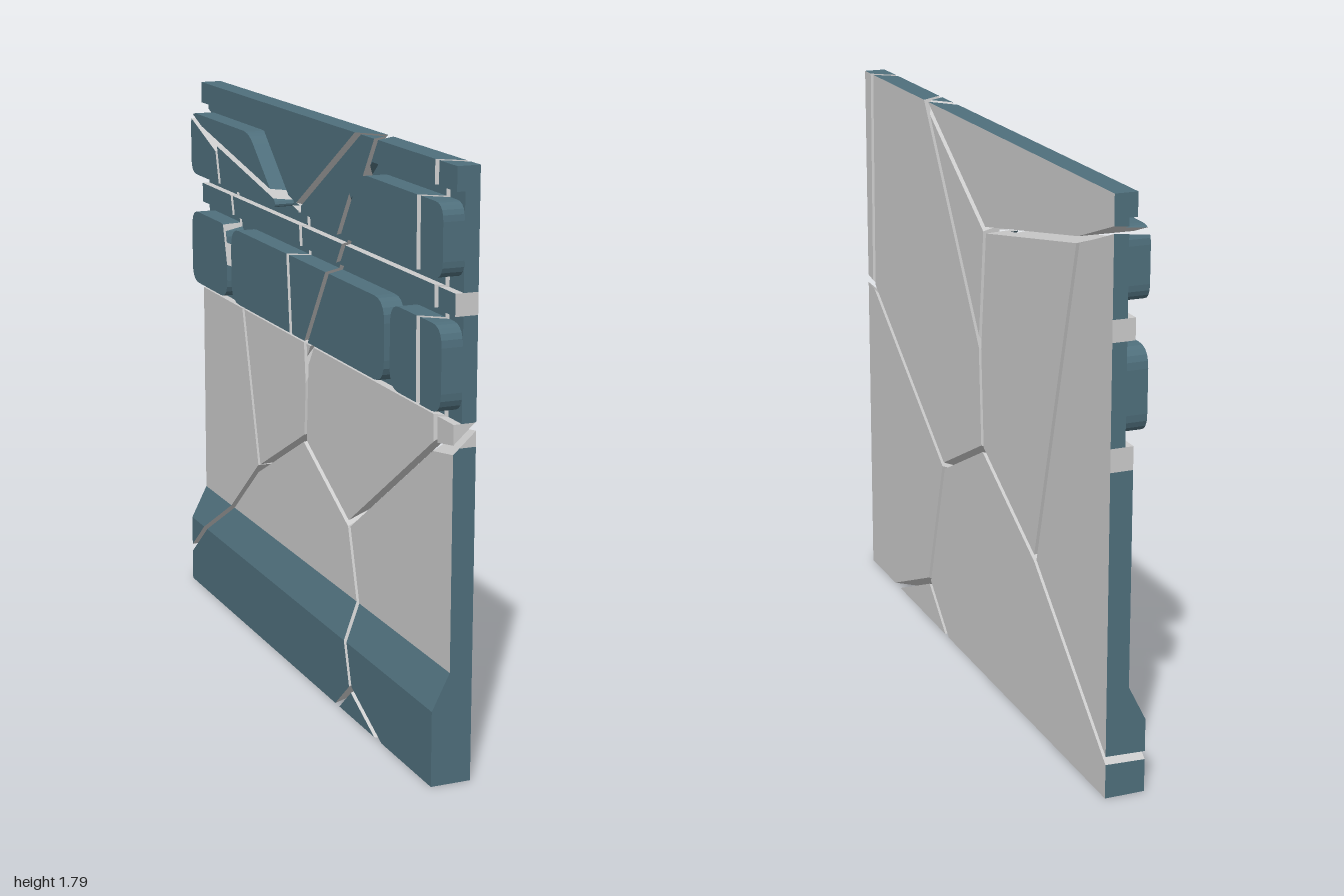
import * as THREE from 'three';

const TEAL = 0, GREY = 1;
const FRONT = 0.06, RECESS = 0.015, SKIN = -0.01, BLOCK = -0.05, FOOT = -0.065;
const TOP = 1.79, GAP = 0.01;
const V = (x, y, z) => new THREE.Vector3(x, y, z);

// Crack corners: [z, y] on the flat face, then [z, y] on the detailed face
const P = {
  A: [0.94, 1.05, 0.89, 0.99], B: [0.28, 0.60, 0.28, 0.57], C: [-0.06, 0.77, -0.08, 0.755],
  D: [-0.04, 1.10, -0.04, 1.02], E: [-0.08, 1.48, -0.14, 1.51], F: [0.42, TOP, 0.46, TOP],
  f: [0.42, TOP, 0.36, TOP], G: [-0.77, 1.61, -0.75, 1.60], H: [-1, 1.69, -1, 1.68],
  I: [-0.48, 0.55, -0.48, 0.545], J: [-1, 0.12, -1, 0.12], K: [0.42, 0.14, 0.425, 0.11],
  L: [0.74, 0, 0.68, 0], M: [0.26, 0, 0.29, 0], N: [0.93, TOP, 0.87, TOP], O: [1, 1.06, 1, 0.985],
  w: [1, TOP, 1, TOP], x: [-1, TOP, -1, TOP], y: [-1, 0, -1, 0], z: [1, 0, 1, 0],
};
const CELLS = ['wNAO', 'NABCDF', 'FDEf', 'fEGHx', 'EDCIG', 'GIJH', 'CBKMyJI', 'OABKLz', 'KLM'];

// Slanted crack planes bounding one fragment, pulled in to leave a gap
function cellPlanes(cell) {
  const pts = [...cell].map((k) => P[k]);
  const centre = V(FRONT, 0, 0);
  pts.forEach((p) => centre.add(V(0, p[1] / pts.length, p[0] / pts.length)));
  const planes = [];
  pts.forEach((p, i) => {
    const q = pts[(i + 1) % pts.length];
    const onRim = (Math.abs(p[0]) === 1 && p[0] === q[0]) || (p[1] === q[1] && (p[1] === 0 || p[1] === TOP));
    if (onRim) return;
    const a = V(FRONT, p[1], p[0]), b = V(FRONT, q[1], q[0]);
    const c = V(SKIN, (p[3] + q[3]) / 2, (p[2] + q[2]) / 2);
    const plane = new THREE.Plane().setFromCoplanarPoints(a, b, c);
    if (plane.distanceToPoint(centre) < 0) plane.negate();
    plane.constant -= GAP;
    planes.push(plane);
  });
  return planes;
}

// Convex prism over a [z, y] outline; the back depth may follow y
function prism(outline, front, back, colors = {}) {
  const { face = GREY, rear = TEAL, side = TEAL } = colors;
  const f = outline.map(([z, y]) => V(front, y, z));
  const b = outline.map(([z, y]) => V(back(y), y, z));
  const faces = [{ pts: f, color: face }, { pts: b, color: rear }];
  f.forEach((p, i) => {
    const j = (i + 1) % f.length;
    faces.push({ pts: [p, f[j], b[j], b[i]], color: side });
  });
  return faces;
}

// Cut a convex solid with a plane and close it with a grey broken face
function cut(faces, plane) {
  const out = [], rim = [];
  for (const { pts, color } of faces) {
    const kept = [];
    pts.forEach((p, i) => {
      const q = pts[(i + 1) % pts.length];
      const dp = plane.distanceToPoint(p), dq = plane.distanceToPoint(q);
      if (dp >= 0) kept.push(p);
      if ((dp >= 0) !== (dq >= 0)) {
        const hit = p.clone().lerp(q, dp / (dp - dq));
        kept.push(hit);
        if (!rim.some((r) => r.distanceTo(hit) < 1e-6)) rim.push(hit);
      }
    });
    if (kept.length > 2) out.push({ pts: kept, color });
  }
  if (rim.length > 2) {
    const mid = rim.reduce((s, p) => s.add(p), V(0, 0, 0)).divideScalar(rim.length);
    const u = rim[0].clone().sub(mid).normalize();
    const v = plane.normal.clone().cross(u);
    const angle = (p) => Math.atan2(p.clone().sub(mid).dot(v), p.clone().sub(mid).dot(u));
    out.push({ pts: rim.sort((a, b) => angle(a) - angle(b)), color: GREY });
  }
  return out;
}

// Flat-shaded mesh from convex faces, each turned outward
function toMesh(faces, name, materials) {
  const all = faces.flatMap((f) => f.pts);
  const mid = all.reduce((s, p) => s.add(p), V(0, 0, 0)).divideScalar(all.length);
  const geometry = new THREE.BufferGeometry();
  const pos = [];
  for (const color of [TEAL, GREY]) {
    const start = pos.length / 3;
    for (const { pts } of faces.filter((f) => f.color === color)) {
      const n = V(0, 0, 0);
      pts.forEach((p, i) => n.add(p.clone().sub(mid).cross(pts[(i + 1) % pts.length].clone().sub(mid))));
      const flip = n.dot(pts[0].clone().sub(mid)) < 0;
      for (let i = 1; i < pts.length - 1; i++) {
        const tri = flip ? [pts[0], pts[i + 1], pts[i]] : [pts[0], pts[i], pts[i + 1]];
        tri.forEach((p) => pos.push(p.x, p.y, p.z));
      }
    }
    geometry.addGroup(start, pos.length / 3 - start, color);
  }
  geometry.setAttribute('position', new THREE.Float32BufferAttribute(pos, 3));
  geometry.computeVertexNormals();
  const mesh = new THREE.Mesh(geometry, materials);
  mesh.name = name;
  return mesh;
}

const rect = (z0, z1, y0, y1) => [[z0, y0], [z1, y0], [z1, y1], [z0, y1]];

// Outline with softened corners
function rounded(corners, r) {
  return corners.flatMap((c, i) => {
    const p = new THREE.Vector2(...c), n = corners.length;
    const toward = (k) => {
      const d = new THREE.Vector2(...corners[k % n]).sub(p);
      return p.clone().add(d.setLength(Math.min(r, d.length() * 0.45)));
    };
    return new THREE.QuadraticBezierCurve(toward(i + n - 1), p, toward(i + 1)).getPoints(5).map((q) => [q.x, q.y]);
  });
}

function wallParts() {
  const parts = [];
  const add = (name, faces) => parts.push({ name, faces });

  // Horizontal bands of the wall: name, bottom, top, depth at bottom and top, colors
  const greyRear = { rear: GREY }, insert = { rear: GREY, side: GREY };
  const bands = [
    ['footing', 0, 0.23, FOOT, FOOT],
    ['footingSlope', 0.23, 0.34, FOOT, SKIN],
    ['wallPanel', 0.34, 1.0, SKIN, SKIN, greyRear],
    ['wallLedge', 1.0, 1.07, SKIN, SKIN, insert],
    ['lowerPocket', 1.07, 1.375, RECESS, RECESS],
    ['middleRail', 1.375, 1.44, SKIN, SKIN, { side: GREY }],
    ['upperPocket', 1.44, 1.72, RECESS, RECESS],
    ['topRail', 1.72, TOP, SKIN, SKIN],
  ];
  for (const [name, y0, y1, x0, x1, colors] of bands) {
    const depth = (y) => x0 + ((x1 - x0) * (y - y0)) / (y1 - y0);
    add(name, prism(rect(-1, 1, y0, y1), FRONT, depth, colors));
  }

  // Raised cladding blocks
  const block = (name, outline, r) =>
    add(name, prism(rounded(outline, r), RECESS, () => BLOCK, { face: TEAL }));
  block('lowerCentreBlock', rect(-0.62, 0.62, 1.10, 1.35), 0.07);
  for (const s of [-1, 1]) {
    block('lowerEndBlock', rect(s * 0.66, s, 1.10, 1.35), 0.06);
    block('upperBlock', [[s * 0.2, 1.48], [s, 1.48], [s, 1.69], [s * 0.45, 1.69]], 0.05);
  }

  // Tapered plate between the upper blocks
  const plate = [[-0.16, 1.48], [0.16, 1.48], [0.44, 1.72], [-0.44, 1.72]];
  add('upperCentrePlate', prism(plate, RECESS, () => SKIN, { face: TEAL }));
  return parts;
}

export function createModel() {
  const model = new THREE.Group();
  model.name = 'crackedWall';
  const materials = [
    new THREE.MeshStandardMaterial({ color: 0x4f6f7c }),
    new THREE.MeshStandardMaterial({ color: 0xcccccc }),
  ];
  const parts = wallParts();

  // Break every part along the cracks, one group per fragment
  CELLS.forEach((cell, i) => {
    const fragment = new THREE.Group();
    fragment.name = `wallFragment${i + 1}`;
    const planes = cellPlanes(cell);
    for (const { name, faces } of parts) {
      const piece = planes.reduce(cut, faces);
      if (piece.length > 3) fragment.add(toMesh(piece, name, materials));
    }
    model.add(fragment);
  });
  return model;
}
